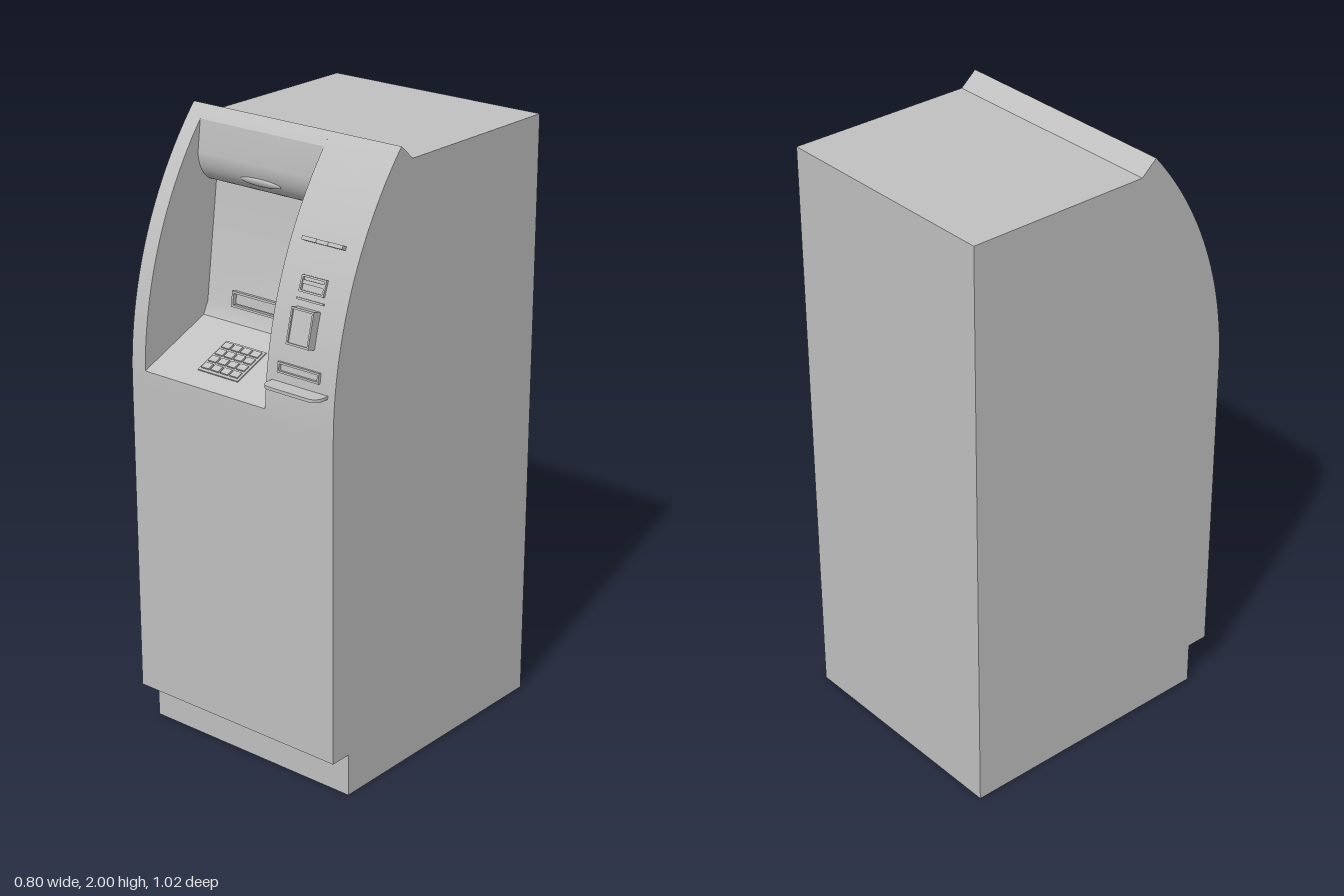
import * as THREE from 'three';
import { toCreasedNormals } from 'three/addons/utils/BufferGeometryUtils.js';

const grey = new THREE.MeshStandardMaterial({ color: 0xc0c0c0 });
grey.name = 'light grey';

// Main measures
const X0 = -0.398, X1 = 0.398, BACK = -0.51;
const OPEN0 = -0.343, OPEN1 = 0.14;             // recess opening
const SEAM = 1.19, TOP = 1.957;
const ARC_Z = -0.775, R_OUT = 1.24, R_IN = 1.17; // curved front
const END = 0.711;

const angleAt = (y, r = R_OUT) => Math.asin((y - SEAM) / r);
const onArc = (r, a) => [ARC_Z + r * Math.cos(a), SEAM + r * Math.sin(a)];
function arc(r, a0, a1, n = 24) {
  return Array.from({ length: n + 1 }, (_, i) => onArc(r, a0 + (a1 - a0) * i / n));
}

function add(parent, name, geometry, x = 0, y = 0, z = 0) {
  const mesh = new THREE.Mesh(geometry, grey);
  mesh.name = name;
  mesh.position.set(x, y, z);
  parent.add(mesh);
  return mesh;
}

// Side profile of [z, y] points, extruded from x0 to x1
function prism(parent, name, points, x0, x1) {
  const shape = new THREE.Shape(points.map(([z, y]) => new THREE.Vector2(z, y)));
  const g = new THREE.ExtrudeGeometry(shape, { depth: x1 - x0, bevelEnabled: false });
  g.rotateY(-Math.PI / 2);
  g.translate(x1, 0, 0);
  return add(parent, name, toCreasedNormals(g, 0.35));
}

// Rectangular rim with an open middle
function frame(parent, name, w, h, rim, depth) {
  const rect = (target, a, b) => target.moveTo(-a, -b).lineTo(a, -b).lineTo(a, b).lineTo(-a, b).closePath();
  const shape = rect(new THREE.Shape(), w / 2, h / 2);
  shape.holes.push(rect(new THREE.Path(), w / 2 - rim, h / 2 - rim));
  return add(parent, name, new THREE.ExtrudeGeometry(shape, { depth, bevelEnabled: false }));
}

// Group lying on a surface that leans back by `lean`; local z points outwards
function mount(parent, name, x, y, z, lean) {
  const group = new THREE.Group();
  group.name = name;
  group.position.set(x, y, z);
  group.rotation.x = -lean;
  parent.add(group);
  return group;
}
function onFascia(parent, name, x, y) {
  const a = angleAt(y);
  return mount(parent, name, x, y, onArc(R_OUT, a)[0], a);
}

export function createModel() {
  const model = new THREE.Group();
  model.name = 'cashMachine';

  // Lower cabinet with toe kick
  prism(model, 'lowerCabinet', [
    [BACK, 0], [0.392, 0], [0.392, 0.14], [0.465, 0.14], [0.465, SEAM], [BACK, SEAM],
  ], X0, X1);

  // Upper cabinet sides and the curved fascia strips in front of them
  for (const [side, x0, x1] of [['right', X0, OPEN0], ['left', OPEN1, X1]]) {
    prism(model, side + 'UpperCabinet',
      [[BACK, SEAM], ...arc(R_IN, 0, END), [BACK, TOP]], x0, x1);
    prism(model, side + 'Fascia',
      [...arc(R_OUT, 0, END), ...arc(R_IN, END, 0)], x0, x1);
  }

  // Middle section: shelf, screen wall, rounded hood and top lip
  const hood = Array.from({ length: 13 }, (_, i) => {
    const t = (1 - i / 12) * Math.PI / 2;
    return [0.13 + 0.08 * Math.cos(t), 1.86 - 0.1 * Math.sin(t)];
  });
  prism(model, 'recessedCabinet', [
    [BACK, SEAM], ...arc(R_OUT, 0, angleAt(1.23), 3),
    [0.2, 1.34], [0.18, 1.38], ...hood,
    ...arc(R_OUT, angleAt(1.96), END, 3), onArc(R_IN, END), [BACK, TOP],
  ], OPEN0, OPEN1);

  // Lamp under the hood
  const lamp = add(model, 'hoodLamp', new THREE.SphereGeometry(1, 24, 12), -0.105, 1.805, 0.197);
  lamp.scale.set(0.08, 0.014, 0.008);
  lamp.rotation.x = 0.49;

  // Cash slot low on the screen wall
  const cash = mount(model, 'cashSlot', -0.105, 1.41, 0.176, 0.13);
  frame(cash, 'cashSlotFrame', 0.26, 0.05, 0.007, 0.014);
  add(cash, 'cashSlotShutter', new THREE.BoxGeometry(0.24, 0.03, 0.008));

  // Keypad on the sloping shelf
  const slope = Math.atan2(0.11, 0.264);
  const pad = mount(model, 'keypad', -0.1, 1.283, 0.34, Math.PI / 2 - slope);
  add(pad, 'keypadPlate', new THREE.BoxGeometry(0.16, 0.14, 0.006));
  for (let row = 0; row < 4; row++) {
    for (let col = 0; col < 4; col++) {
      add(pad, 'key', new THREE.BoxGeometry(0.031, 0.024, 0.006),
        -0.057 + col * 0.038, -0.049 + row * 0.0327, 0.005);
    }
  }

  // Receipt slot: a narrow lip with a thumb notch
  const receipt = onFascia(model, 'receiptSlot', 0.267, 1.735);
  const lip = new THREE.Shape();
  lip.moveTo(-0.075, 0).lineTo(0.075, 0).lineTo(0.075, 0.018).lineTo(0.022, 0.018);
  lip.quadraticCurveTo(0, -0.002, -0.022, 0.018).lineTo(-0.075, 0.018).closePath();
  const lipGeometry = new THREE.ExtrudeGeometry(lip, { depth: 0.012, bevelEnabled: false });
  lipGeometry.rotateX(Math.PI / 2);
  add(receipt, 'receiptLip', lipGeometry);

  // Card reader
  const reader = onFascia(model, 'cardReader', 0.265, 1.615);
  frame(reader, 'cardReaderFrame', 0.092, 0.05, 0.006, 0.008);
  add(reader, 'cardReaderMouth', new THREE.BoxGeometry(0.08, 0.012, 0.01), 0, 0.005, 0);
  add(reader, 'cardReaderLedge', new THREE.BoxGeometry(0.1, 0.006, 0.012), 0, -0.045, 0);

  // Raised scanner housing with a rim
  const scanner = onFascia(model, 'scanner', 0.265, 1.498);
  add(scanner, 'scannerHousing', new THREE.BoxGeometry(0.084, 0.11, 0.05), 0, 0, -0.001);
  const rim = frame(scanner, 'scannerRim', 0.084, 0.11, 0.006, 0.005);
  rim.position.z = 0.024;

  // Lower slot
  const slot = onFascia(model, 'lowerSlot', 0.263, 1.37);
  frame(slot, 'lowerSlotFrame', 0.155, 0.032, 0.006, 0.01);

  // Small shelf with rounded front corners
  const w = 0.105, front = 0.51, rear = 0.44, r = 0.03;
  const tray = new THREE.Shape();
  tray.moveTo(-w, rear).lineTo(w, rear).lineTo(w, front - r);
  tray.absarc(w - r, front - r, r, 0, Math.PI / 2, false);
  tray.absarc(-w + r, front - r, r, Math.PI / 2, Math.PI, false);
  tray.closePath();
  const trayGeometry = new THREE.ExtrudeGeometry(tray, { depth: 0.01, bevelEnabled: false });
  trayGeometry.rotateX(Math.PI / 2);
  add(model, 'tray', toCreasedNormals(trayGeometry, 0.6), 0.267, 1.326, 0);

  return model;
}
